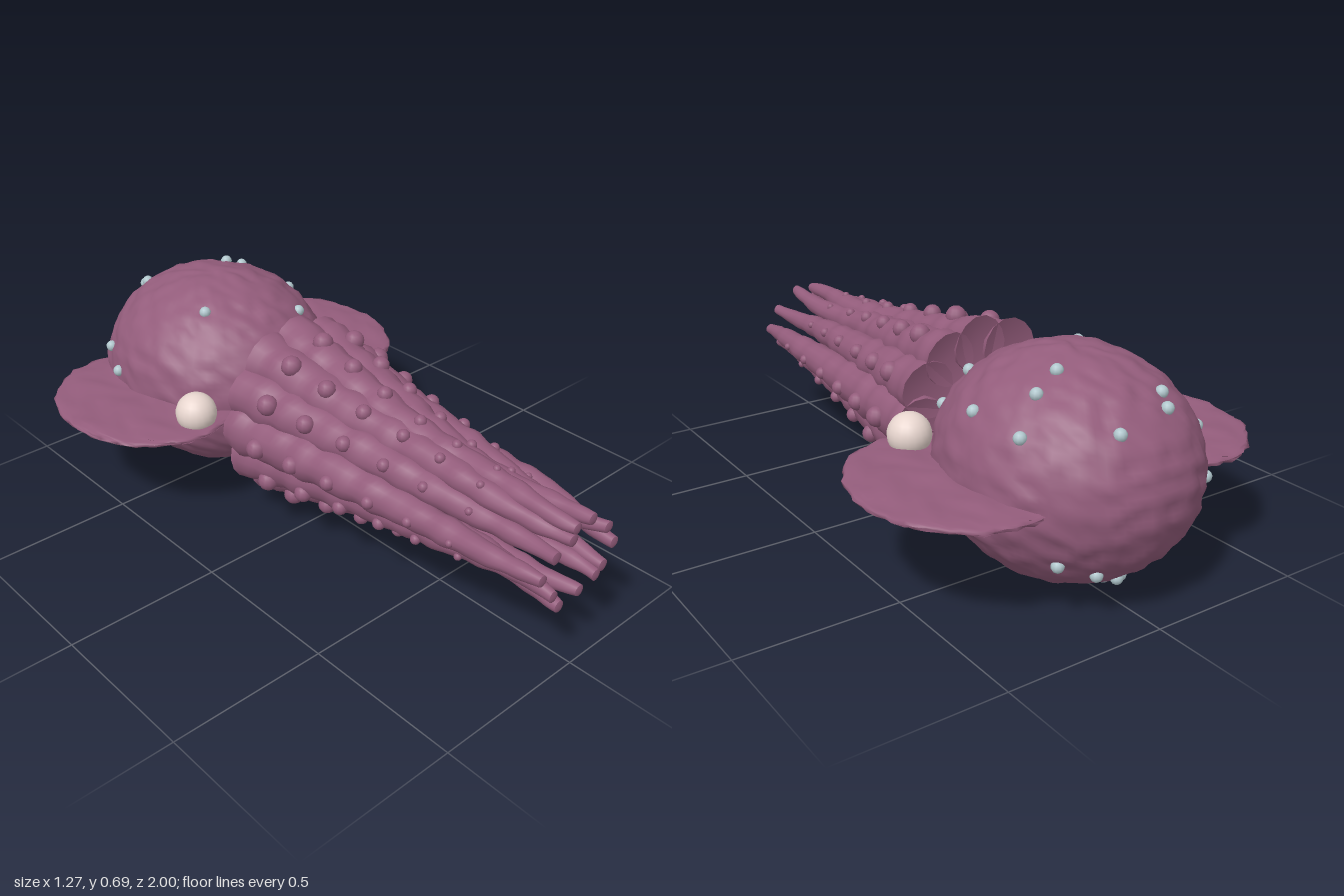
import * as THREE from 'three';
import { mergeVertices } from 'three/addons/utils/BufferGeometryUtils.js';

const mat = (name, color) => Object.assign(new THREE.MeshStandardMaterial({ color }), { name });

// Smooth lumpy displacement
const lump = (x, y, z) =>
  (Math.sin(x * 31 + Math.sin(y * 23) * 2) + Math.sin(y * 37 + Math.sin(z * 19) * 2) + Math.sin(z * 29 + Math.sin(x * 27) * 2)) / 3;

// Ellipsoid with a bumpy skin; a power below 1 squares off its thickness
function bumpyEllipsoid(rx, ry, rz, amount, power, wSeg, hSeg) {
  let g = new THREE.SphereGeometry(1, wSeg, hSeg);
  g.deleteAttribute('uv');
  g.deleteAttribute('normal');
  g = mergeVertices(g, 1e-4);
  const p = g.attributes.position;
  for (let i = 0; i < p.count; i++) {
    const x = p.getX(i), y = p.getY(i), z = p.getZ(i);
    const k = 1 + amount * (lump(x * 0.7, y * 0.7, z * 0.7) + 0.6 * lump(z, x, y));
    const thick = Math.sign(y) * Math.pow(Math.abs(y), power);
    p.setXYZ(i, x * rx * k, thick * ry * k + 0.2 * amount * lump(x * 0.4, 0, z * 0.4), z * rz * k);
  }
  g.computeVertexNormals();
  return g;
}

const ARMS = 12, RINGS = 60, SIDES = 14, Z0 = -0.172, LENGTH = 1.162, MID_Y = 0.355;
// Sideways lean of each arm, counted from the left side over the top
const LEAN = [0.06, 0, -0.035, -0.025, 0, 0, -0.045, -0.02, 0, 0.01, 0.02, 0.03];

const armRadius = t => 0.09 * Math.pow(1 - t, 0.9) + 0.018 * t;

// Centre of an arm at t = 0 (base) to 1 (tip)
function armCentre(k, t) {
  const a = (k / ARMS) * Math.PI * 2, sway = 0.016 * t * t;
  const ring = 0.137 + 0.17 * Math.pow(1 - t, 1.6) - armRadius(t);
  return new THREE.Vector3(
    Math.cos(a) * ring + LEAN[k] * Math.sin(t * 2.2) + sway * Math.sin(t * 11 + k * 2.3),
    MID_Y + 0.005 * t + Math.sin(a) * ring + sway * Math.cos(t * 9 + k * 1.7),
    Z0 + t * LENGTH);
}

// Tapered arm with rippled rings and closed ends
function armGeometry(k) {
  const pos = [], idx = [];
  for (let i = 0; i <= RINGS; i++) {
    const t = i / RINGS, c = armCentre(k, t);
    const ripple = 0.04 * Math.sin(t * 55 + k * 2) + 0.03 * Math.sin(t * 83 + k * 5);
    for (let j = 0; j < SIDES; j++) {
      const a = (j / SIDES) * Math.PI * 2;
      const r = armRadius(t) * (1 + ripple + 0.03 * Math.sin(a * 3 + t * 40 + k));
      pos.push(c.x + Math.cos(a) * r, c.y + Math.sin(a) * r, c.z);
    }
  }
  for (let i = 0; i < RINGS; i++) for (let j = 0; j < SIDES; j++) {
    const n = (j + 1) % SIDES, a = i * SIDES + j, b = i * SIDES + n;
    idx.push(a, b, a + SIDES, b, b + SIDES, a + SIDES);
  }
  // End caps use their own vertices so the rims stay sharp
  for (const [ring, dz] of [[0, 0.02], [RINGS, 0.006]]) {
    const c = armCentre(k, ring / RINGS), start = pos.length / 3;
    for (let j = 0; j < SIDES; j++) pos.push(...pos.slice((ring * SIDES + j) * 3, (ring * SIDES + j) * 3 + 3));
    pos.push(c.x, c.y, c.z + dz);
    for (let j = 0; j < SIDES; j++) {
      const a = start + j, b = start + (j + 1) % SIDES;
      if (ring) idx.push(start + SIDES, a, b); else idx.push(start + SIDES, b, a);
    }
  }
  const g = new THREE.BufferGeometry();
  g.setAttribute('position', new THREE.Float32BufferAttribute(pos, 3));
  g.setIndex(idx);
  g.computeVertexNormals();
  return g;
}

export function createModel() {
  const root = new THREE.Group();
  const skin = mat('mauve skin', 0x935c7b);
  const eyeMat = mat('pale eye', 0xe8d6cf);
  const spotMat = mat('pale blue spot', 0xb0c6cc);
  const mouthMat = mat('dark mouth', 0x260f10);

  const add = (name, geometry, material, x, y, z, parent = root) => {
    const m = new THREE.Mesh(geometry, material);
    m.name = name;
    m.position.set(x, y, z);
    parent.add(m);
    return m;
  };

  // Body, with the mouth tucked inside the ring of arms
  const centre = new THREE.Vector3(0, MID_Y, -0.592);
  const radii = new THREE.Vector3(0.37, 0.334, 0.405);
  add('mantle', bumpyEllipsoid(radii.x, radii.y, radii.z, 0.014, 1, 96, 64), skin, ...centre);
  add('mouth', new THREE.SphereGeometry(0.09, 20, 14), mouthMat, 0, MID_Y, -0.11).scale.z = 0.6;

  // Fins and eyes on both sides
  for (const [side, s] of [['left', 1], ['right', -1]]) {
    add(side + 'Fin', bumpyEllipsoid(0.28, 0.018, 0.33, 0.026, 0.6, 64, 32), skin, s * 0.35, 0.354, -0.53);
    add(side + 'Eye', new THREE.SphereGeometry(0.066, 20, 14), eyeMat, s * 0.325, 0.394, -0.28);
  }

  // Pale spots, pressed onto the mantle surface
  const spots = [
    [-0.11, 0.6, -0.83], [-0.09, 0.57, -0.87], [0.09, 0.55, -0.9], [0.12, 0.67, -0.68],
    [0.2, 0.62, -0.7], [0.28, 0.53, -0.74], [0.3, 0.55, -0.56], [0.18, 0.6, -0.315],
    [-0.16, 0.645, -0.435], [-0.27, 0.33, -0.86], [-0.31, 0.44, -0.77], [-0.35, 0.4, -0.67],
    [0.23, 0.475, -0.285], [0.27, 0.31, -0.305], [0.14, 0.12, -0.33], [0.2, 0.115, -0.4],
    [-0.02, 0.02, -0.52], [0.02, 0.1, -0.84], [-0.03, 0.065, -0.81], [-0.01, 0.04, -0.765],
    [-0.117, 0.085, -0.8], [0.23, 0.195, -0.845], [0.13, 0.155, -0.885], [-0.34, 0.27, -0.48]];
  const spotGroup = new THREE.Group();
  spotGroup.name = 'spots';
  root.add(spotGroup);
  const spotGeo = new THREE.SphereGeometry(0.019, 10, 8);
  for (const s of spots) {
    const p = new THREE.Vector3(...s).sub(centre).divide(radii).normalize().multiply(radii).add(centre);
    add('spot', spotGeo, spotMat, p.x, p.y, p.z, spotGroup);
  }

  // Ring of arms, each with a row of shrinking suckers along its outside
  const suckerZ = [-0.03, 0.115, 0.26, 0.41, 0.55, 0.7];
  const suckerGeo = new THREE.SphereGeometry(1, 12, 8);
  for (let k = 0; k < ARMS; k++) {
    const arm = new THREE.Group();
    arm.name = 'arm' + (k + 1);
    root.add(arm);
    add('armBody', armGeometry(k), skin, 0, 0, 0, arm);
    const a = (k / ARMS) * Math.PI * 2;
    suckerZ.forEach((z, i) => {
      const t = (z - Z0) / LENGTH, c = armCentre(k, t), r = armRadius(t) * 0.95;
      add('sucker', suckerGeo, skin, c.x + Math.cos(a) * r, c.y + Math.sin(a) * r, z, arm)
        .scale.setScalar(0.033 - 0.0042 * i);
    });
  }
  return root;
}
